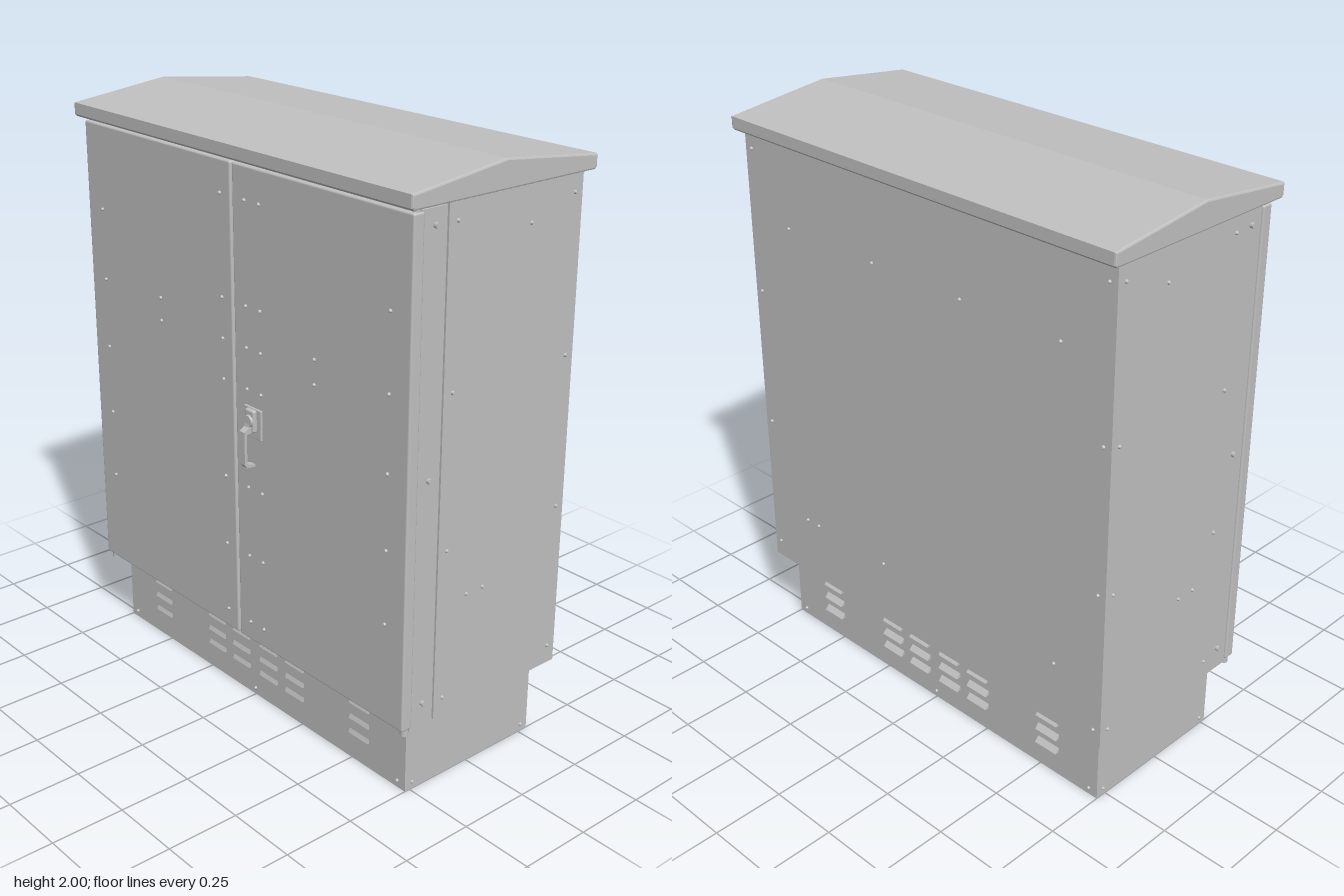
import * as THREE from 'three';
import { RoundedBoxGeometry } from 'three/addons/geometries/RoundedBoxGeometry.js';

export function createModel() {
  const grey = new THREE.MeshStandardMaterial({ color: 0xc0c0c0 });
  grey.name = 'painted steel grey';
  const model = new THREE.Group();
  model.name = 'cabinet';

  const add = (name, geometry, parent = model) => {
    const mesh = new THREE.Mesh(geometry, grey);
    mesh.name = name;
    parent.add(mesh);
    return mesh;
  };
  // Box given by its limits, with rounded edges when r is set
  const box = (name, x0, x1, y0, y1, z0, z1, r = 0, parent = model) => {
    const size = [x1 - x0, y1 - y0, z1 - z0];
    const g = r ? new RoundedBoxGeometry(...size, 2, r) : new THREE.BoxGeometry(...size);
    g.translate((x0 + x1) / 2, (y0 + y1) / 2, (z0 + z1) / 2);
    return add(name, g, parent);
  };
  // Profile of [z, y] points extruded along x, centred on x = 0
  const extrudeX = (points, width, bevel = 0) => {
    const shape = new THREE.Shape(points.map(p => new THREE.Vector2(...p)));
    const g = new THREE.ExtrudeGeometry(shape, {
      depth: width - 2 * bevel, bevelEnabled: bevel > 0, bevelSize: bevel,
      bevelThickness: bevel, bevelOffset: -bevel, bevelSegments: 2,
    });
    g.translate(0, 0, -(width - 2 * bevel) / 2);
    return g.rotateY(-Math.PI / 2);
  };

  // Plinth, housing and door frame
  box('plinth', -0.75, 0.75, 0.005, 0.275, -0.29, 0.27);
  box('housing', -0.8, 0.8, 0.27, 1.905, -0.345, 0.205);
  box('doorFrame', -0.793, 0.793, 0.262, 1.9, 0.2, 0.3);
  box('neck', -0.77, 0.77, 1.89, 1.915, -0.31, 0.31);

  // Pitched roof with softened edges
  add('roof', extrudeX([
    [0.364, 1.918], [0.364, 1.957], [0, 2], [-0.382, 1.957],
    [-0.382, 1.918], [-0.374, 1.91], [0.356, 1.91],
  ], 1.638, 0.006));

  // Double doors
  for (const s of [-1, 1]) {
    const [a, b] = s < 0 ? [-0.8, -0.004] : [0.004, 0.8];
    box(s < 0 ? 'rightDoor' : 'leftDoor', a, b, 0.275, 1.897, 0.296, 0.337, 0.007);
    // Hinge pins above and below each door
    for (const y of [0.265, 1.898]) {
      const pin = add('hingePin', new THREE.CylinderGeometry(0.013, 0.013, 0.026, 16));
      pin.position.set(s * 0.783, y, 0.312);
    }
  }

  // Ventilation louvres, shallow at the front and hooded at the back
  const louvre = depth => extrudeX([[-0.002, 0.012], [-0.002, -0.008], [depth, -0.008]], 0.092);
  for (const [side, z, depth, turn] of [['front', 0.27, 0.006, 0], ['back', -0.29, 0.016, Math.PI]]) {
    const geometry = louvre(depth);
    for (const x of [-0.535, -0.212, -0.074, 0.074, 0.212, 0.535]) {
      for (const y of [0.217, 0.16, 0.105]) {
        const m = add(side + 'Louvre', geometry);
        m.position.set(x, y, z);
        m.rotation.y = turn;
      }
    }
  }

  // Domed bolt heads
  const boltGeometry = new THREE.CylinderGeometry(0.004, 0.007, 0.008, 10).translate(0, 0.003, 0);
  const bolt = (x, y, z, face) => {
    const m = add(face + 'Bolt', boltGeometry);
    m.position.set(x, y, z);
    if (face === 'front') m.rotation.x = Math.PI / 2;
    if (face === 'back') m.rotation.x = -Math.PI / 2;
    if (face === 'side') m.rotation.z = -Math.sign(x) * Math.PI / 2;
  };
  for (const s of [-1, 1]) {
    for (const y of [1.605, 1.357, 1.11, 0.863, 0.617]) bolt(s * 0.715, y, 0.337, 'front');
    for (const y of [1.37, 1.29]) bolt(s * 0.39, y, 0.337, 'front');
  }
  for (const x of [-0.055, 0.065, 0.135]) {
    for (const y of [1.79, 1.455, 1.318, 1.18, 0.84, 0.593, 0.345]) bolt(x, y, 0.337, 'front');
  }
  for (const x of [-0.715, 0, 0.715]) {
    for (const y of [0.232, 0.03]) {
      bolt(x, y, 0.27, 'front');
      bolt(x, y, -0.29, 'back');
    }
  }
  for (const s of [-1, 1]) {
    for (const y of [1.85, 1.345, 0.84, 0.335]) {
      bolt(s * 0.8, y, 0.17, 'side');
      bolt(s * 0.8, y, -0.312, 'side');
      bolt(s * 0.77, y, -0.345, 'back');
    }
    for (const [y, z] of [[0.665, 0.08], [0.665, 0.01], [1.79, -0.13]]) bolt(s * 0.8, y, z, 'side');
    for (const y of [0.232, 0.03]) for (const z of [0.24, -0.26]) bolt(s * 0.75, y, z, 'side');
    // Larger bolts on the hinge strip
    for (const y of [1.85, 1.09, 0.345]) {
      const m = add('hingeBolt', new THREE.CylinderGeometry(0.009, 0.009, 0.014, 12));
      m.rotation.z = Math.PI / 2;
      m.position.set(s * 0.798, y, 0.25);
    }
  }
  for (const x of [0.6, 0.195, -0.195, -0.6]) bolt(x, 1.617, -0.345, 'back');
  for (const x of [0.6, 0.54, 0.195, -0.6]) bolt(x, 0.5, -0.345, 'back');

  // Swing handle: back plate, lock housing and curved lever
  const handle = new THREE.Group();
  handle.name = 'doorHandle';
  model.add(handle);
  box('handlePlate', 0.055, 0.14, 1.025, 1.128, 0.335, 0.344, 0.003, handle);
  box('lockHousing', 0.075, 0.12, 1.05, 1.125, 0.34, 0.358, 0.006, handle);
  const pivot = add('handlePivot', new THREE.CylinderGeometry(0.02, 0.023, 0.028, 20), handle);
  pivot.rotation.x = Math.PI / 2;
  pivot.position.set(0.098, 1.088, 0.352);
  add('lever', extrudeX([
    [0.35, 1.1], [0.364, 1.09], [0.368, 1.07], [0.387, 1.058], [0.387, 0.946], [0.378, 0.934],
    [0.345, 0.93], [0.345, 0.939], [0.373, 0.945], [0.377, 0.952],
    [0.377, 1.048], [0.35, 1.052],
  ], 0.025), handle).position.x = 0.098;

  return model;
}
